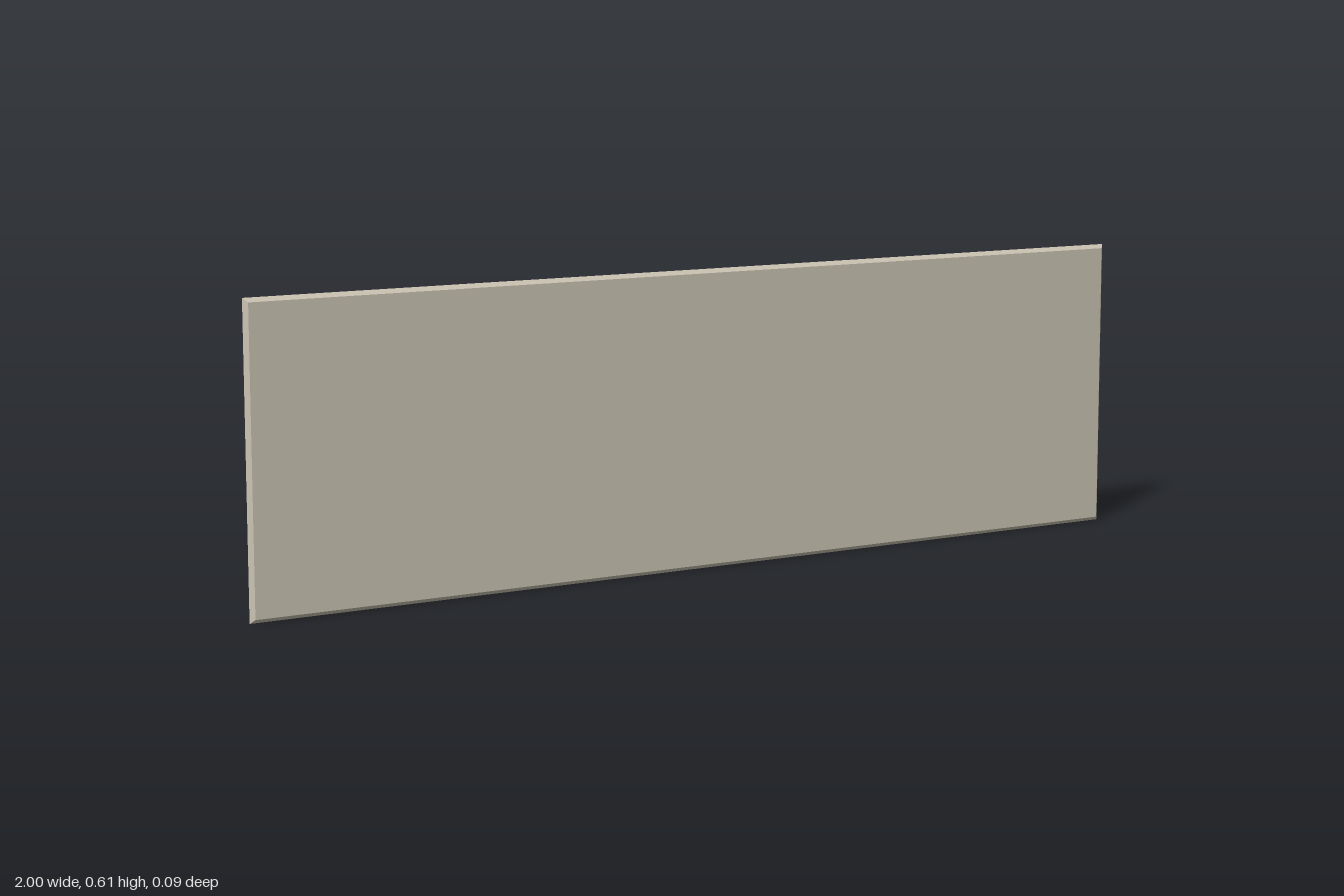
import * as THREE from 'three';

export function createModel() {
  const root = new THREE.Group();
  const mat = (name, color) => {
    const m = new THREE.MeshStandardMaterial({ color });
    m.name = name;
    return m;
  };
  const beige = mat('beige', 0xcbc3b3);
  const brass = mat('brass', 0xb89a68);
  const charcoal = mat('charcoal', 0x3a3a3c);

  const add = (name, geometry, material) => {
    const mesh = new THREE.Mesh(geometry, material);
    mesh.name = name;
    root.add(mesh);
    return mesh;
  };

  // Box given by half width, y range and z range
  const slab = (name, material, hx, y0, y1, z0, z1, x = 0) => {
    const m = add(name, new THREE.BoxGeometry(hx * 2, y1 - y0, z1 - z0), material);
    m.position.set(x, (y0 + y1) / 2, (z0 + z1) / 2);
    return m;
  };

  // Plate whose rim is chamfered to a ridge halfway through its thickness
  const ridgedPlate = (name, hx, y0, y1, z0, z1, bevel) => {
    const s = new THREE.Shape();
    s.moveTo(-hx + bevel, y0 + bevel);
    s.lineTo(hx - bevel, y0 + bevel);
    s.lineTo(hx - bevel, y1 - bevel);
    s.lineTo(-hx + bevel, y1 - bevel);
    const depth = 0.0005;
    const bevelThickness = (z1 - z0 - depth) / 2;
    const g = new THREE.ExtrudeGeometry(s, {
      depth, bevelEnabled: true, bevelSegments: 1, bevelSize: bevel, bevelThickness,
    });
    g.translate(0, 0, z0 + bevelThickness);
    return add(name, g, beige);
  };

  // Round head with its axis along z
  const stud = (name, x, y, r, z0, z1) => {
    const g = new THREE.CylinderGeometry(r, r, z1 - z0, 12);
    g.rotateX(Math.PI / 2);
    add(name, g, brass).position.set(x, y, (z0 + z1) / 2);
  };

  // Stacked plates, front to back
  ridgedPlate('frontBoard', 1, 0, 0.607, 0.025, 0.043, 0.008);
  ridgedPlate('backingPlate', 0.972, 0.006, 0.588, 0.009, 0.0252, 0.006);
  ridgedPlate('middlePanel', 0.69, 0.18, 0.588, 0.004, 0.02, 0.006);
  ridgedPlate('dialHousing', 0.652, 0.23, 0.532, -0.018, 0.0042, 0.011);

  // Dark lower strip on its brass surround
  slab('stripSurround', brass, 0.963, 0.014, 0.178, 0.0075, 0.012);
  slab('lowerStrip', charcoal, 0.955, 0.02, 0.172, 0.002, 0.009);

  // Dial plate on its brass trim
  slab('dialTrim', brass, 0.637, 0.25, 0.51, -0.0195, -0.017);
  slab('dialPlate', beige, 0.627, 0.26, 0.5, -0.029, -0.017);

  // Studs, mirrored left and right
  for (const side of [-1, 1]) {
    for (const y of [0.033, 0.576]) stud('cornerStud', side * 0.965, y, 0.011, 0.007, 0.025);
    for (const y of [0.195, 0.57]) stud('panelStud', side * 0.675, y, 0.007, 0.001, 0.008);
    stud('stripStud', side * 0.952, 0.096, 0.009, -0.001, 0.009);
  }

  // Scale marks: longer at the middle and both ends
  for (let i = -3; i <= 3; i++) {
    const h = i % 3 === 0 ? 0.033 : 0.018;
    slab('scaleMark', charcoal, 0.005, 0.308 - h, 0.308 + h, -0.031, -0.0285, i * 0.196);
  }

  // Pointer bar with a downward arrowhead
  const px = 0.588;
  slab('pointerBar', brass, 0.011, 0.3, 0.48, -0.039, -0.032, px);
  const tip = new THREE.Shape();
  tip.moveTo(px, 0.272);
  tip.lineTo(px + 0.023, 0.305);
  tip.lineTo(px - 0.023, 0.305);
  const arrow = new THREE.ExtrudeGeometry(tip, { depth: 0.013, bevelEnabled: false });
  arrow.translate(0, 0, -0.042);
  add('pointerTip', arrow, charcoal);

  return root;
}
